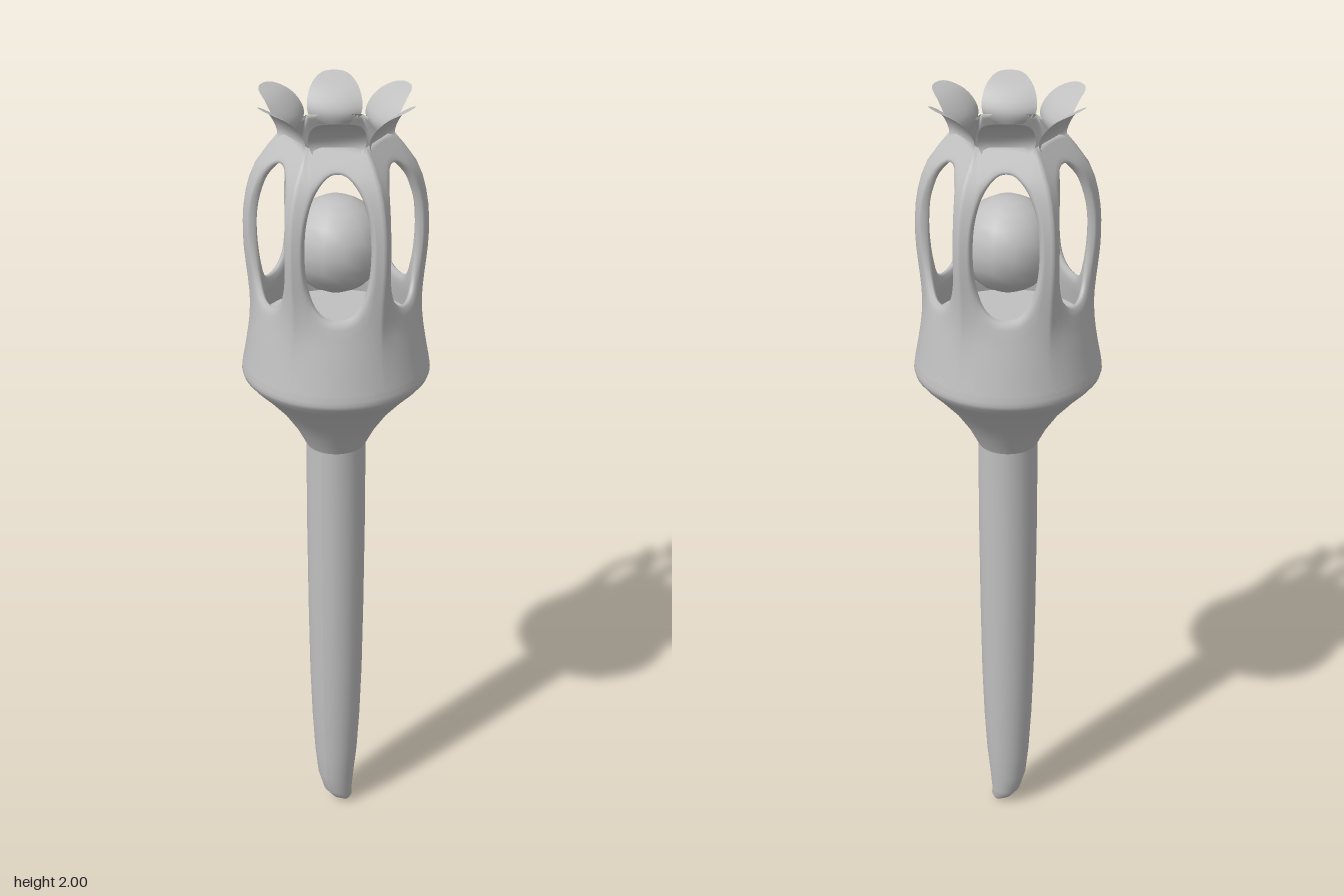
import * as THREE from 'three';
import { mergeVertices } from 'three/addons/utils/BufferGeometryUtils.js';

const stone = new THREE.MeshStandardMaterial({ color: 0xc0c0c0, side: THREE.DoubleSide });
stone.name = 'plain grey';

const V2 = (p) => new THREE.Vector2(p[0], p[1]);

// Joins rows of points into a smooth surface; sheets is a list of row lists
function skin(sheets) {
  const pos = [], index = [];
  for (const rows of sheets) {
    const base = pos.length / 3, n = rows[0].length;
    rows.forEach((row) => row.forEach((p) => pos.push(p.x, p.y, p.z)));
    for (let i = 0; i < rows.length - 1; i++) {
      for (let j = 0; j < n - 1; j++) {
        const a = base + i * n + j, b = a + 1, c = a + n, d = c + 1;
        index.push(a, b, d, a, d, c);
      }
    }
  }
  let g = new THREE.BufferGeometry();
  g.setAttribute('position', new THREE.Float32BufferAttribute(pos, 3));
  g.setIndex(index);
  g = mergeVertices(g, 1e-4);
  g.computeVertexNormals();
  return g;
}

const polar = (r, angle, y) => new THREE.Vector3(r * Math.sin(angle), y, r * Math.cos(angle));
const sides = [0, 1, 2, 3, 4, 5].map((k) => Math.PI / 2 + (k * Math.PI) / 3);

// Corner radius of the cage at evenly spaced heights
const cageProfile = new THREE.SplineCurve([
  [0.222, 1.36], [0.209, 1.43], [0.202, 1.5], [0.206, 1.57], [0.213, 1.64],
  [0.214, 1.71], [0.206, 1.78], [0.182, 1.85], [0.128, 1.92],
].map(V2));

// Point on the cage wall: round at the bottom, hexagonal higher up
function cagePoint(u, v, depth, facing) {
  const p = cageProfile.getPoint(v);
  const a = (u * Math.PI) / 6;
  const hex = THREE.MathUtils.smoothstep(p.y, 1.42, 1.65);
  const r = p.x * (1 - hex + (hex * Math.cos(Math.PI / 6)) / Math.cos(a));
  return polar(r - depth * Math.min(1, (1 - v) * 8), facing + a, p.y);
}

// One cage panel: rings from the panel edge to the window, round its lip and back inside
function cagePanel(facing) {
  const steps = 16, edge = [];
  for (let k = 0; k < 4; k++) {
    for (let i = 0; i < steps; i++) {
      const t = -1 + (2 * i) / steps;
      edge.push([[t, -1], [1, t], [-t, 1], [-1, -t]][k]);
    }
  }
  edge.push(edge[0]);
  const rings = [[1, 0], [0.8, 0], [0.6, 0], [0.4, 0], [0.25, 0], [0.12, 0], [0.03, 0.003], [0, 0.01],
    [0.03, 0.017], [0.12, 0.02], [0.25, 0.02], [0.4, 0.02], [0.6, 0.02], [0.8, 0.02], [1, 0.02]];
  return rings.map(([s, depth]) => edge.map(([x, y]) => {
    const k = Math.pow(Math.abs(x) ** 2.5 + Math.abs(y) ** 2.5, -1 / 2.5);
    const u = THREE.MathUtils.lerp(0.78 * x * k, x, s);
    const v = THREE.MathUtils.lerp(0.61 + 0.295 * y * k, (y + 1) / 2, s);
    return cagePoint(u, v, depth, facing);
  }));
}

// One petal: a spoon-shaped blade curling outward
const petalPath = new THREE.SplineCurve(
  [[0.113, 1.895], [0.106, 1.92], [0.12, 1.95], [0.15, 1.98], [0.19, 2.0]].map(V2));
function petal(facing) {
  const rows = [];
  for (let i = 0; i <= 16; i++) {
    const t = Math.sin((i / 16) * Math.PI / 2);
    const p = petalPath.getPoint(t);
    const w = t > 0.4
      ? 0.064 * Math.sqrt(Math.max(0, 1 - ((t - 0.4) / 0.6) ** 2))
      : 0.046 + 0.018 * Math.sin((t / 0.4) * Math.PI / 2);
    const row = [];
    for (let j = 0; j <= 10; j++) {
      const c = j / 5 - 1;
      const r = p.x + 0.014 * c * c * (1 - t);
      row.push(new THREE.Vector3(c * w, p.y, r).applyAxisAngle(new THREE.Vector3(0, 1, 0), facing));
    }
    rows.push(row);
  }
  return rows;
}

export function createModel() {
  const model = new THREE.Group();
  const add = (name, geometry) => {
    const mesh = new THREE.Mesh(geometry, stone);
    mesh.name = name;
    model.add(mesh);
    return mesh;
  };

  // Tapered shaft, its tip pulled off centre
  const shaft = new THREE.LatheGeometry([
    [0, 0], [0.012, 0.004], [0.028, 0.02], [0.038, 0.045], [0.048, 0.1], [0.056, 0.18],
    [0.063, 0.3], [0.068, 0.45], [0.071, 0.65], [0.073, 0.9], [0.073, 1.13],
  ].map(V2), 32);
  const pos = shaft.attributes.position;
  for (let i = 0; i < pos.count; i++) {
    const bend = Math.max(0, 1 - pos.getY(i) / 0.08) ** 2;
    pos.setX(i, pos.getX(i) + 0.024 * bend);
    pos.setZ(i, pos.getZ(i) - 0.014 * bend);
  }
  shaft.computeVertexNormals();
  add('shaft', shaft);

  // Flared collar under the cage
  add('collar', new THREE.LatheGeometry([
    [0.073, 1.13], [0.097, 1.177], [0.133, 1.23], [0.178, 1.28], [0.208, 1.31],
    [0.222, 1.327], [0.225, 1.337], [0.224, 1.347], [0.222, 1.36],
  ].map(V2), 64));

  // Six-windowed cage, its floor and the orb inside
  add('cage', skin(sides.map(cagePanel)));
  const floor = add('cageFloor', new THREE.CircleGeometry(0.192, 48));
  floor.rotation.x = -Math.PI / 2;
  floor.position.y = 1.45;
  const orb = add('orb', new THREE.SphereGeometry(0.115, 14, 10));
  orb.position.y = 1.65;

  // Crown of petals
  const crown = new THREE.Group();
  crown.name = 'petalCrown';
  sides.forEach((facing) => {
    const mesh = new THREE.Mesh(skin([petal(facing)]), stone);
    mesh.name = 'petal';
    crown.add(mesh);
  });
  model.add(crown);
  return model;
}
